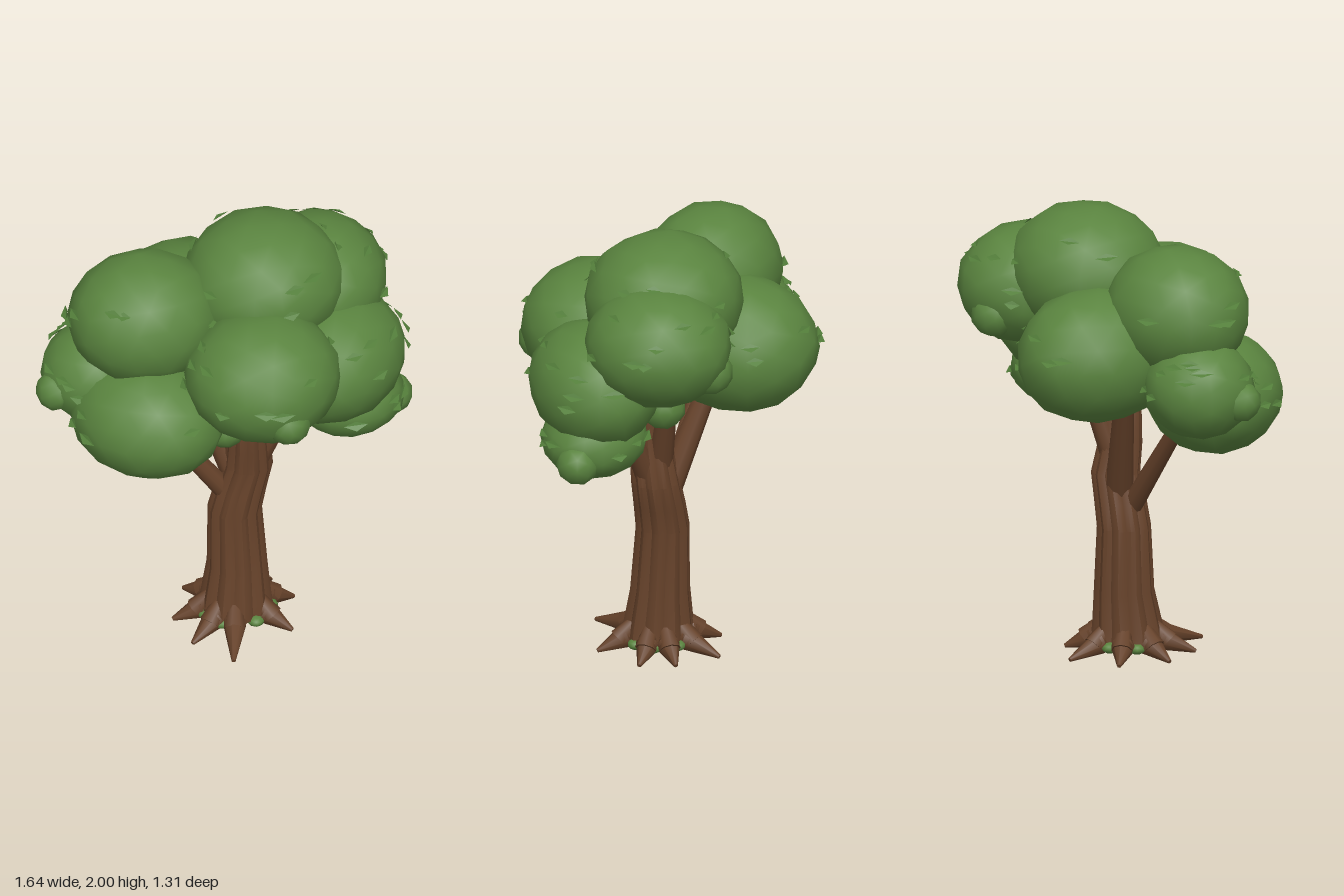
import * as THREE from 'three';
import { mergeVertices, mergeGeometries, toCreasedNormals } from 'three/addons/utils/BufferGeometryUtils.js';

const mat = (name, color, extra = {}) => {
  const m = new THREE.MeshStandardMaterial({ color, ...extra });
  m.name = name;
  return m;
};

// Smooth-shaded, slightly irregular coarse ball stretched to the given radii
function clumpGeometry(rx, ry, rz, seed, detail) {
  let g = new THREE.IcosahedronGeometry(1, detail);
  g.deleteAttribute('uv');
  g.deleteAttribute('normal');
  g = mergeVertices(g, 1e-4);
  g.rotateY(seed);
  const p = g.attributes.position;
  for (let i = 0; i < p.count; i++) {
    const x = p.getX(i), y = p.getY(i), z = p.getZ(i);
    const k = 1.015 + 0.02 * Math.sin(7 * x + seed) * Math.sin(6 * z + 5 * y + seed * 2.3);
    p.setXYZ(i, x * rx * k, y * ry * k, z * rz * k);
  }
  g.computeVertexNormals();
  return g;
}

// Loft of fluted rings: each row is [y, centre x, centre z, radius]
function trunkGeometry(rows, sides = 40) {
  const pos = [], idx = [];
  rows.forEach(([y, cx, cz, r], j) => {
    for (let i = 0; i < sides; i++) {
      const a = (i / sides) * Math.PI * 2;
      const k = 0.91 + 0.13 * Math.abs(Math.sin(5 * a));
      pos.push(cx + Math.cos(a) * r * k, y, cz + Math.sin(a) * r * k);
      if (j === 0) continue;
      const n = (i + 1) % sides, lo = (j - 1) * sides, hi = j * sides;
      idx.push(lo + i, hi + i, lo + n, lo + n, hi + i, hi + n);
    }
  });
  // End caps
  const first = rows[0], last = rows[rows.length - 1], c = pos.length / 3;
  pos.push(first[1], first[0], first[2], last[1], last[0], last[2]);
  const top = (rows.length - 1) * sides;
  for (let i = 0; i < sides; i++) {
    const n = (i + 1) % sides;
    idx.push(c, i, n, c + 1, top + n, top + i);
  }
  const g = new THREE.BufferGeometry();
  g.setAttribute('position', new THREE.Float32BufferAttribute(pos, 3));
  const ends = [[c, first], [c + 1, last]];
  ends.forEach(([i, [y, x, z]]) => g.attributes.position.setXYZ(i, x, y, z));
  g.setIndex(idx);
  return toCreasedNormals(g, 0.5);
}

// Tapered limb between two points
function limb(a, b, r0, r1, sides = 9) {
  const A = new THREE.Vector3(...a), B = new THREE.Vector3(...b);
  const d = B.clone().sub(A);
  const g = new THREE.CylinderGeometry(r1, r0, d.length(), sides);
  g.applyQuaternion(new THREE.Quaternion().setFromUnitVectors(new THREE.Vector3(0, 1, 0), d.normalize()));
  const m = A.add(B).multiplyScalar(0.5);
  return g.translate(m.x, m.y, m.z);
}

export function createModel() {
  const tree = new THREE.Group();
  tree.name = 'tree';
  const bark = mat('bark brown', 0x66422a);
  const foliage = mat('foliage green', 0x5a843f);
  const leafMat = mat('leaf green', 0x547f3b, { side: THREE.DoubleSide });
  const add = (name, geo, material) => {
    const m = new THREE.Mesh(geo, material);
    m.name = name;
    tree.add(m);
    return m;
  };
  let s = 11;
  const rand = () => (s = (s * 16807) % 2147483647) / 2147483647;
  for (let i = 0; i < 5; i++) rand();

  // Trunk with a bend to the side
  add('trunk', trunkGeometry([
    [0.06, 0.05, 0.04, 0.155], [0.12, 0.05, 0.04, 0.147], [0.28, 0.058, 0.028, 0.126],
    [0.57, 0.05, 0.02, 0.113], [0.68, 0.075, 0.022, 0.109], [0.8, 0.108, 0.025, 0.103],
    [0.92, 0.103, 0.045, 0.094], [1.07, 0.1, 0.055, 0.082], [1.3, 0.14, 0.04, 0.05],
  ]), bark);

  // Branches: start, end, start radius, end radius
  [
    [[0.04, 0.62, 0.03], [-0.33, 1.13, 0.01], 0.048, 0.034],
    [[0.06, 0.72, 0.0], [-0.1, 1.17, -0.12], 0.062, 0.045],
    [[0.13, 0.8, 0.04], [0.31, 1.2, 0.1], 0.055, 0.035],
    [[0.11, 0.9, 0.0], [0.2, 1.25, -0.08], 0.055, 0.04],
  ].forEach(([a, b, r0, r1], i) => add('branch' + (i + 1), limb(a, b, r0, r1), bark));

  // Flared roots meeting under the trunk: angle in degrees, reach
  const roots = [[-8, 0.27], [44, 0.28], [106, 0.36], [143, 0.3],
    [182, 0.28], [230, 0.28], [276, 0.31], [318, 0.27]];
  const around = (deg, r, y) => {
    const a = THREE.MathUtils.degToRad(deg);
    return [0.05 + Math.cos(a) * r, y, 0.04 + Math.sin(a) * r];
  };
  roots.forEach(([a, reach], i) => {
    add('root' + (i + 1), mergeGeometries([
      limb(around(a, 0.02, 0.065), around(a, 0.15, 0.068), 0.03, 0.048, 8),
      limb(around(a, 0.11, 0.12), around(a, 0.18, 0.055), 0.034, 0.047, 8),
      limb(around(a, 0.15, 0.062), around(a, reach, 0.014), 0.053, 0.009, 8),
    ]), bark);
    // Moss tuft beside each root
    add('moss' + (i + 1), clumpGeometry(0.036, 0.024, 0.036, i, 1), foliage)
      .position.set(...around(a + 24, 0.145, 0.05));
  });

  // Crown clumps: centre, radii, turn about the vertical
  const turn = Math.PI / 4;
  const clumps = [
    [0.2, 1.71, -0.06, 0.35, 0.287, 0.34, 0],
    [-0.34, 1.63, -0.03, 0.33, 0.285, 0.295, 0],
    [0.1, 1.48, 0.31, 0.335, 0.28, 0.325, 0],
    [-0.375, 1.24, 0.155, 0.345, 0.26, 0.295, -turn],
    [0.475, 1.385, 0.14, 0.345, 0.265, 0.275, turn],
    [0.53, 1.16, 0.115, 0.24, 0.172, 0.225, 0],
    [0.46, 1.61, -0.155, 0.3, 0.26, 0.32, 0],
    [-0.09, 1.43, -0.26, 0.315, 0.295, 0.37, 0],
    [-0.535, 1.34, -0.08, 0.245, 0.22, 0.235, 0],
  ];
  clumps.forEach(([x, y, z, rx, ry, rz, yaw], i) => {
    const m = add('foliageClump' + (i + 1), clumpGeometry(rx, ry, rz, i * 1.7, 2), foliage);
    m.position.set(x, y, z);
    m.rotation.y = yaw;
  });

  // Small tufts on the clumps: centre, radius
  [
    [-0.735, 1.31, -0.02, 0.088], [0.15, 1.39, 0.55, 0.1], [0.725, 1.11, 0.1, 0.092],
    [0.43, 1.52, -0.39, 0.1], [0.38, 1.29, -0.14, 0.1], [-0.04, 1.14, 0.2, 0.09],
  ].forEach(([x, y, z, r], i) =>
    add('foliageTuft' + (i + 1), clumpGeometry(r, r, r, i, 1), foliage).position.set(x, y, z));

  // Folded diamond leaves scattered over the exposed crown
  const pos = [], up = new THREE.Vector3(0, 1, 0);
  const inside = (v, skip) => clumps.some(([x, y, z, rx, ry, rz, yaw], i) => {
    const d = new THREE.Vector3(v.x - x, v.y - y, v.z - z).applyAxisAngle(up, -yaw);
    return i !== skip && (d.x / rx) ** 2 + (d.y / ry) ** 2 + (d.z / rz) ** 2 < 1.02;
  });
  clumps.forEach(([x, y, z, rx, ry, rz, yaw], c) => {
    for (let i = 0; i < 15; i++) {
      const a = rand() * Math.PI * 2, h = -0.1 + rand() * 0.8, q = Math.sqrt(1 - h * h);
      const n = new THREE.Vector3(Math.cos(a) * q, h, Math.sin(a) * q);
      const p = n.clone().multiply(new THREE.Vector3(rx, ry, rz)).multiplyScalar(1.005 + rand() * 0.03)
        .applyAxisAngle(up, yaw).add(new THREE.Vector3(x, y, z));
      n.applyAxisAngle(up, yaw);
      if (inside(p, c)) continue;
      const along = new THREE.Vector3(-n.z / q, 0.15 * (rand() - 0.5), n.x / q);
      const across = new THREE.Vector3().crossVectors(along, n).multiplyScalar(0.6)
        .add(new THREE.Vector3(n.x, 0, n.z).multiplyScalar(-0.5)).normalize();
      const len = 0.034 + rand() * 0.024;
      const L = p.clone().addScaledVector(along, -len), R = p.clone().addScaledVector(along, len);
      const lift = n.clone().multiplyScalar(0.008);
      const U = p.clone().addScaledVector(across, 0.021).add(lift);
      const D = p.clone().addScaledVector(across, -0.021).add(lift);
      [L, R, U, R, L, D].forEach(v => pos.push(v.x, v.y, v.z));
    }
  });
  const leaves = new THREE.BufferGeometry();
  leaves.setAttribute('position', new THREE.Float32BufferAttribute(pos, 3));
  leaves.computeVertexNormals();
  add('leaves', leaves, leafMat);

  return tree;
}
